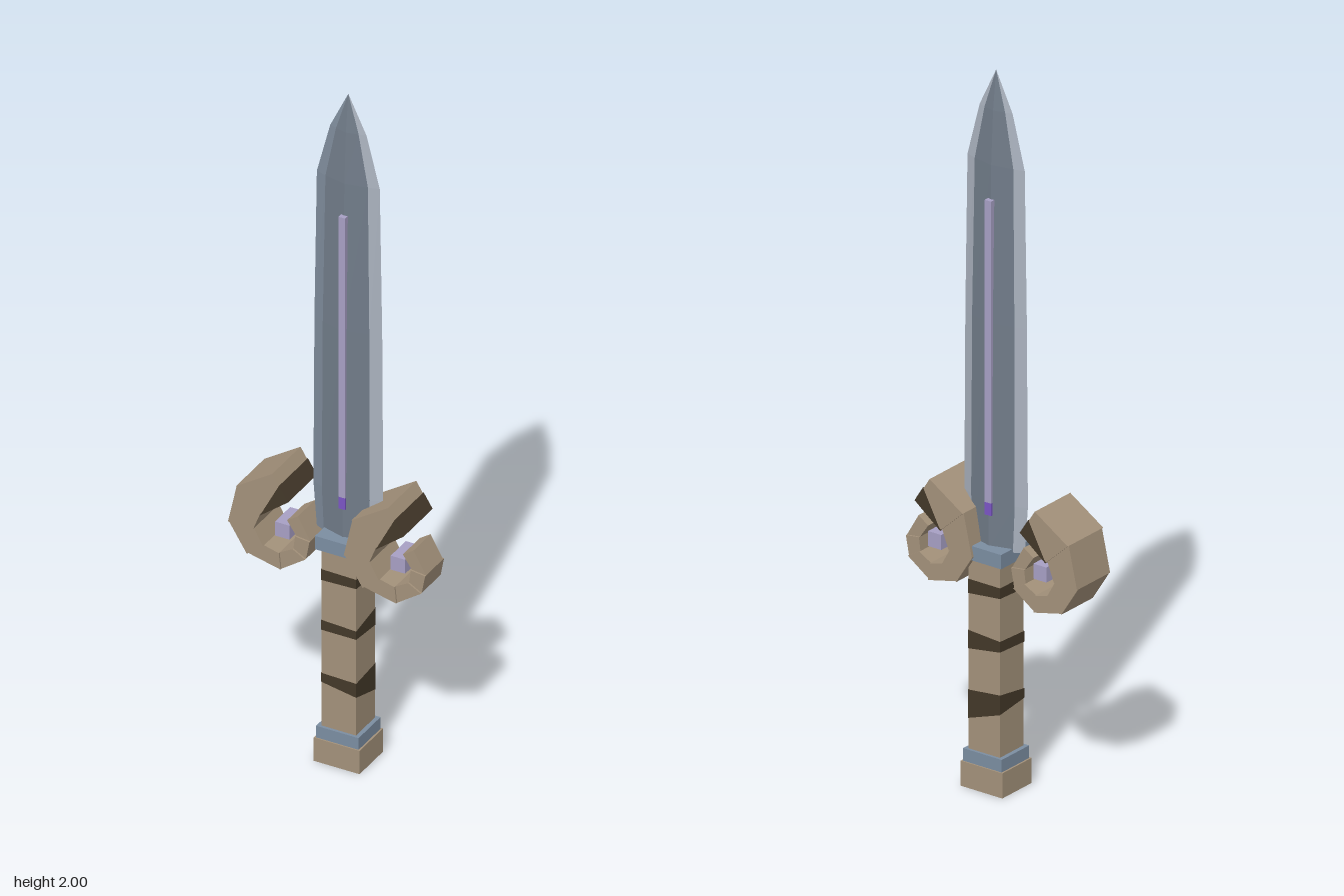
import * as THREE from 'three';

const material = (name, color, extra = {}) => {
  const m = new THREE.MeshStandardMaterial({ color, flatShading: true, ...extra });
  m.name = name;
  return m;
};

export function createModel() {
  const both = { side: THREE.DoubleSide };
  const tan = material('tan horn', 0xa3917a);
  const dark = material('dark brown', 0x433829, both);
  const blue = material('blue metal', 0x7b8da1);
  const steel = material('grey steel', 0x707b88, both);
  const edge = material('pale edge', 0xa9b1bd, both);
  const edgeBlue = material('blue edge', 0x7f8c9b, both);
  const lilac = material('lilac', 0xa79fc4);
  const purple = material('purple', 0x7a55c4);

  const model = new THREE.Group();
  model.name = 'sword';
  const CX = 0.03; // the sword's axis

  const add = (name, geometry, mat, parent = model) => {
    const mesh = new THREE.Mesh(geometry, mat);
    mesh.name = name;
    parent.add(mesh);
    return mesh;
  };
  const box = (name, w, d, y0, y1, mat, x = CX, parent = model) => {
    const mesh = add(name, new THREE.BoxGeometry(w, y1 - y0, d), mat, parent);
    mesh.position.set(x, (y0 + y1) / 2, 0);
    return mesh;
  };
  // Flat-shaded band between two lists of points
  const strip = (a, b) => {
    const pos = [];
    for (let i = 0; i + 1 < a.length; i++) {
      pos.push(...a[i], ...b[i], ...b[i + 1], ...a[i], ...b[i + 1], ...a[i + 1]);
    }
    const g = new THREE.BufferGeometry();
    g.setAttribute('position', new THREE.Float32BufferAttribute(pos, 3));
    g.computeVertexNormals();
    return g;
  };
  // Polygon in the front plane, extruded evenly to both sides in z
  const slab = (points, halfDepth) => {
    const shape = new THREE.Shape(points.map(p => new THREE.Vector2(...p)));
    const g = new THREE.ExtrudeGeometry(shape, { depth: halfDepth * 2, bevelEnabled: false });
    return g.translate(0, 0, -halfDepth);
  };

  // Pommel, collar, grip and guard
  box('pommel', 0.134, 0.124, 0, 0.07, tan);
  box('pommelCollar', 0.124, 0.116, 0.07, 0.105, blue);
  box('grip', 0.1, 0.1, 0.105, 0.64, tan);
  box('guard', 0.126, 0.124, 0.64, 0.68, blue);

  // Dark stripes around the grip: low and high y at each corner
  const corners = [[-1, 1], [1, 1], [1, -1], [-1, -1], [-1, 1]];
  const stripes = [
    [[0.545, 0.578], [0.548, 0.576], [0.54, 0.58], [0.55, 0.58]],
    [[0.395, 0.425], [0.395, 0.42], [0.385, 0.437], [0.4, 0.43]],
    [[0.238, 0.265], [0.22, 0.262], [0.19, 0.27], [0.225, 0.28]],
  ];
  for (const s of stripes) {
    const line = k => corners.map(([x, z], i) => [CX + x * 0.0515, s[i % 4][k], z * 0.0515]);
    add('gripStripe', strip(line(0), line(1)), dark);
  }

  // Blade rows: y, half width, half width at the bevel, half depth
  const rows = [
    [0.665, 0, 0, 0], [0.67, 0.092, 0.064, 0.032], [0.8, 0.102, 0.07, 0.032],
    [1.3, 0.099, 0.068, 0.029], [1.74, 0.092, 0.062, 0.021], [1.89, 0.053, 0.033, 0.013], [2, 0, 0, 0],
  ];
  for (const sx of [-1, 1]) {
    for (const sz of [-1, 1]) {
      const ridge = rows.map(([y, , , d]) => [CX, y, sz * d]);
      const bevel = rows.map(([y, , b, d]) => [CX + sx * b, y, sz * d * 0.42]);
      const rim = rows.map(([y, w]) => [CX + sx * w, y, 0]);
      const turn = sx * sz > 0;
      const face = (a, b) => (turn ? strip(a, b) : strip(b, a));
      add('bladeFace', face(ridge, bevel), steel);
      add('bladeEdge', face(bevel, rim), sx < 0 && sz > 0 ? edgeBlue : edge);
    }
  }
  box('bladeInlay', 0.02, 0.07, 0.8, 1.645, lilac);
  box('inlayTip', 0.02, 0.07, 0.765, 0.8, purple);

  // Curled horn: outer and inner outline from mouth to tail, half depth of each piece
  const outer = [[0.018, 0.838], [-0.088, 0.769], [-0.114, 0.652], [-0.061, 0.568],
    [0.034, 0.546], [0.103, 0.594], [0.113, 0.647], [0.076, 0.711]];
  const inner = [[0.061, 0.769], [-0.019, 0.706], [-0.04, 0.652], [-0.014, 0.605],
    [0.029, 0.594], [0.066, 0.615], [0.071, 0.652], [0.045, 0.69]];
  const depths = [0.075, 0.07, 0.066, 0.06, 0.055, 0.05, 0.045];
  for (const x of [-0.169, 0.169]) {
    const horn = new THREE.Group();
    horn.name = x < 0 ? 'rightHorn' : 'leftHorn';
    horn.position.x = x;
    depths.forEach((d, i) => {
      add('hornPiece', slab([outer[i], inner[i], inner[i + 1], outer[i + 1]], d), tan, horn);
    });
    // Dark wedge inside the mouth
    add('hornMouth', slab([[0.0385, 0.809], [0.065, 0.767], [-0.017, 0.703]], 0.0765), dark, horn);
    // Gem held in the curl
    box('gem', 0.042, 0.08, 0.63, 0.672, lilac, 0.028, horn);
    model.add(horn);
  }
  return model;
}
